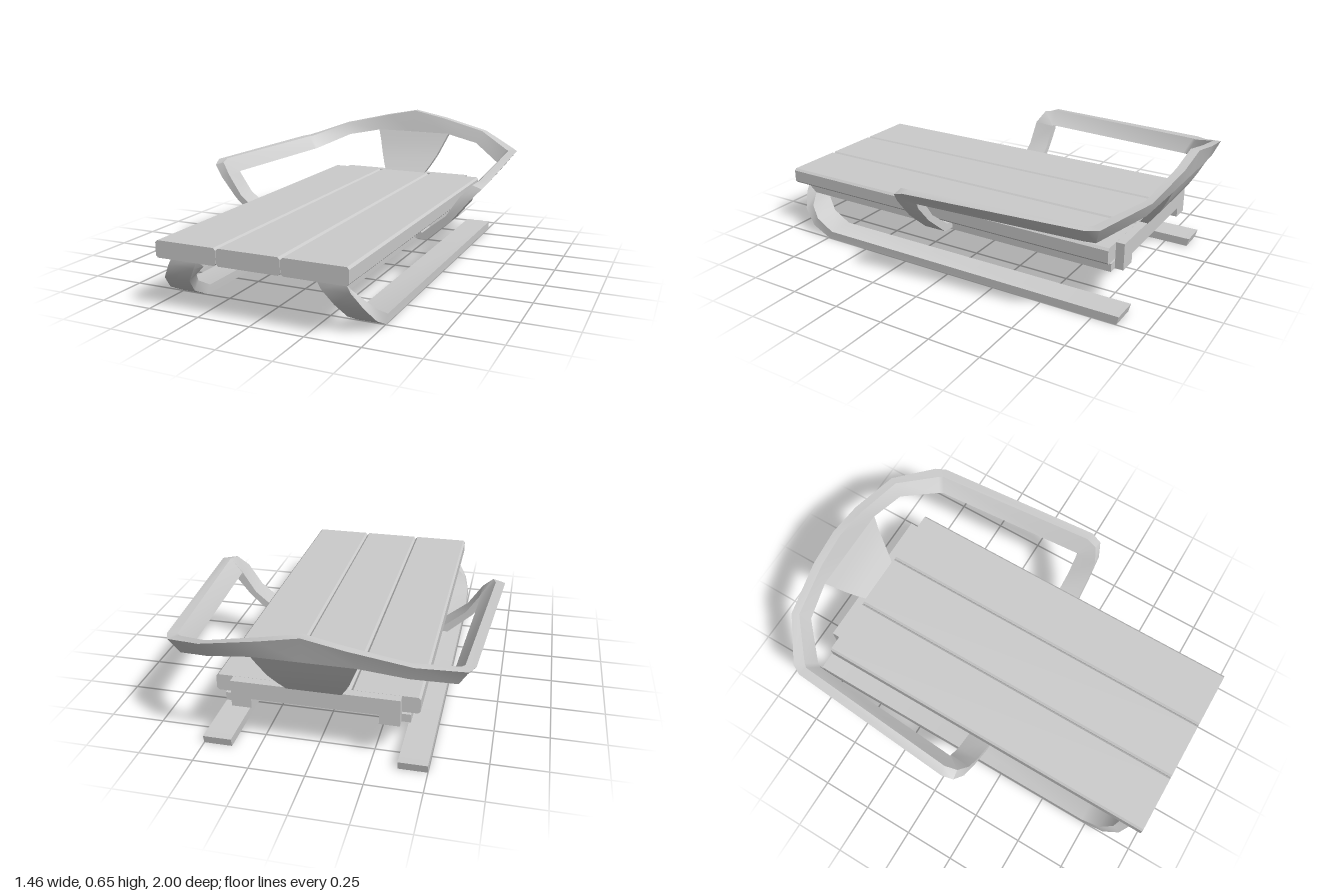
import * as THREE from 'three';
import { toCreasedNormals } from 'three/addons/utils/BufferGeometryUtils.js';

const material = new THREE.MeshStandardMaterial({ color: 0xcccccc });

function addMesh(group, name, geometry) {
  const mesh = new THREE.Mesh(geometry, material);
  mesh.name = name;
  group.add(mesh);
  return mesh;
}

// Skin a row of rings (counter-clockwise about the path) and cap both ends
function loft(rings) {
  const pos = [];
  const quad = (a, b, c, d) => pos.push(...a, ...b, ...c, ...a, ...c, ...d);
  for (let k = 0; k < rings.length - 1; k++) {
    const a = rings[k], b = rings[k + 1];
    for (let i = 0; i < 4; i++) {
      const j = (i + 1) % 4;
      quad(a[i], a[j], b[j], b[i]);
    }
  }
  quad(...[...rings[0]].reverse());
  quad(...rings[rings.length - 1]);
  const geometry = new THREE.BufferGeometry();
  geometry.setAttribute('position', new THREE.Float32BufferAttribute(pos, 3));
  return toCreasedNormals(geometry, 0.6);
}

// Mirror in x; reversing the path keeps the faces outward
const mirror = (rings) => rings.map((r) => r.map(([x, y, z]) => [-x, y, z])).reverse();

// Bar with chamfered long edges, running along z
function plankGeometry(w, h, length, c) {
  const x = w / 2, y = h / 2;
  const outline = [[x - c, -y], [x, c - y], [x, y - c], [x - c, y],
    [c - x, y], [-x, y - c], [-x, c - y], [c - x, -y]];
  const shape = new THREE.Shape(outline.map((p) => new THREE.Vector2(...p)));
  return new THREE.ExtrudeGeometry(shape, { depth: length, bevelEnabled: false });
}

export function createModel() {
  const sled = new THREE.Group();
  sled.name = 'sled';

  // Seat planks
  for (const i of [-1, 0, 1]) {
    const plank = addMesh(sled, 'seatPlank', plankGeometry(0.298, 0.077, 1.79, 0.01));
    plank.position.set(i * 0.3, 0.277, -0.79);
  }

  // Rear crossbar with a foot at each end
  const bar = new THREE.Shape([
    [-0.37, 0.19], [-0.28, 0.19], [-0.28, 0.235], [0.28, 0.235],
    [0.28, 0.19], [0.37, 0.19], [0.37, 0.315], [-0.37, 0.315],
  ].map((p) => new THREE.Vector2(...p)));
  const crossbar = addMesh(sled, 'rearCrossbar',
    new THREE.ExtrudeGeometry(bar, { depth: 0.04, bevelEnabled: false }));
  crossbar.position.z = -0.83;

  // Runners: ground strip, inward front curl, upper rail
  // each row: outer z, y, inner z, y, sideways shift of outer and inner edge
  const runner = [
    [-0.865, 0, -0.875, 0.04, 0, 0],
    [0.745, 0, 0.725, 0.04, 0, 0],
    [0.845, 0.05, 0.82, 0.09, 0, -0.005],
    [0.915, 0.12, 0.875, 0.14, -0.025, -0.035],
    [0.945, 0.19, 0.90, 0.19, -0.07, -0.09],
    [0.945, 0.228, 0.90, 0.19, -0.09, -0.09],
    [-0.79, 0.228, -0.79, 0.19, -0.09, -0.09],
  ].map(([oz, oy, iz, iy, so, si]) => [
    [0.5 + so, oy, oz], [0.5 + si, iy, iz], [0.37 + si, iy, iz], [0.37 + so, oy, oz],
  ]);
  addMesh(sled, 'leftRunner', loft(runner));
  addMesh(sled, 'rightRunner', loft(mirror(runner)));

  // Flared rail: back centre, round the corner, along the arm, down the leg
  // each ring: outer top, inner top, inner bottom, outer bottom
  const half = [
    [[0.18, 0.62, -1], [0.17, 0.62, -0.96], [0.22, 0.53, -0.93], [0.22, 0.53, -0.97]],
    [[0.44, 0.56, -0.965], [0.425, 0.56, -0.93], [0.40, 0.495, -0.895], [0.42, 0.49, -0.935]],
    [[0.64, 0.487, -0.83], [0.605, 0.487, -0.79], [0.56, 0.418, -0.76], [0.60, 0.41, -0.80]],
    [[0.665, 0.485, -0.78], [0.62, 0.485, -0.77], [0.57, 0.415, -0.74], [0.61, 0.41, -0.75]],
    [[0.73, 0.48, 0.07], [0.685, 0.485, 0.06], [0.62, 0.418, 0.045], [0.66, 0.41, 0.045]],
    [[0.715, 0.46, 0.125], [0.67, 0.475, 0.12], [0.615, 0.415, 0.045], [0.655, 0.40, 0.045]],
    [[0.665, 0.405, 0.15], [0.62, 0.42, 0.15], [0.61, 0.405, 0.045], [0.65, 0.385, 0.045]],
    [[0.58, 0.30, 0.15], [0.55, 0.315, 0.15], [0.55, 0.315, 0.042], [0.58, 0.30, 0.042]],
    [[0.465, 0.20, 0.15], [0.445, 0.232, 0.15], [0.445, 0.232, 0.035], [0.465, 0.20, 0.035]],
    [[0.40, 0.20, 0.15], [0.40, 0.232, 0.15], [0.40, 0.232, 0.03], [0.40, 0.20, 0.03]],
  ];
  const centre = [[0, 0.655, -1], [0, 0.655, -0.96], [0, 0.53, -0.93], [0, 0.53, -0.97]];
  addMesh(sled, 'armAndBackRail', loft([...mirror(half), centre, ...half]));

  // Tapering back panel between the crossbar and the rail: half width, y, front z
  const panel = [
    [0.12, 0.31, -0.79], [0.145, 0.355, -0.825], [0.172, 0.41, -0.865],
    [0.195, 0.47, -0.90], [0.22, 0.532, -0.93],
  ].map(([w, y, z]) => [
    [w, y, z], [w, y, z - 0.04], [-w, y, z - 0.04], [-w, y, z],
  ]);
  addMesh(sled, 'backPanel', loft(panel));

  return sled;
}
